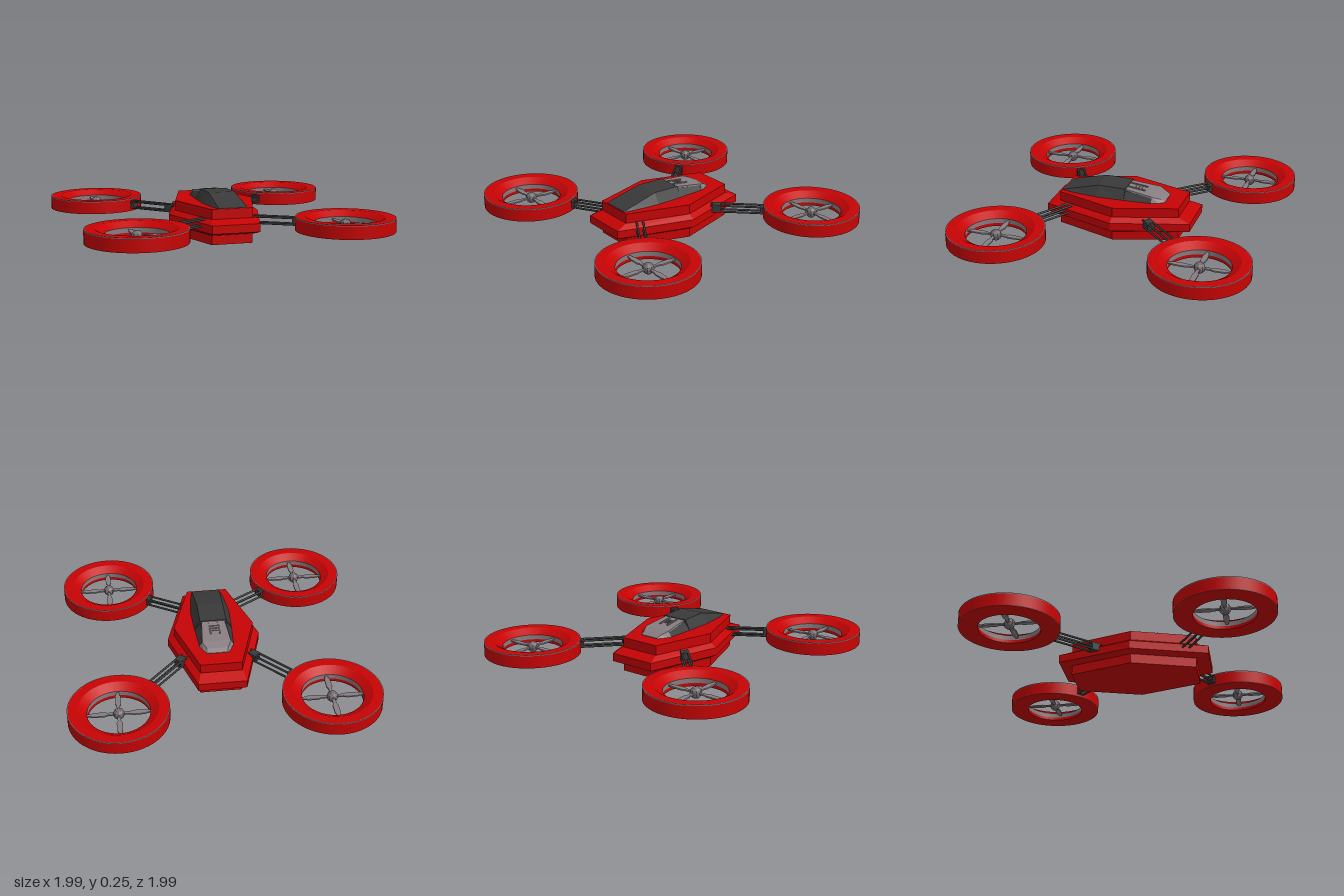
import * as THREE from 'three';

const mat = (name, color) => {
  const m = new THREE.MeshStandardMaterial({ color });
  m.name = name;
  return m;
};

// Flat-faced solid through rings of points, each counter-clockwise seen from the end
function loft(rings) {
  const pos = [];
  const tri = (a, b, c) => pos.push(...a, ...b, ...c);
  for (let k = 0; k + 1 < rings.length; k++) {
    const a = rings[k], b = rings[k + 1];
    a.forEach((p, i) => {
      const j = (i + 1) % a.length;
      tri(p, a[j], b[j]);
      tri(p, b[j], b[i]);
    });
  }
  const first = rings[0], last = rings[rings.length - 1];
  for (let i = 1; i + 1 < first.length; i++) {
    tri(first[0], first[i + 1], first[i]);
    tri(last[0], last[i], last[i + 1]);
  }
  const g = new THREE.BufferGeometry();
  g.setAttribute('position', new THREE.Float32BufferAttribute(pos, 3));
  g.computeVertexNormals();
  return g;
}

// Six-sided hull outline at height y: w = half width, e = half end width, l = half length
const hex = (w, e, l, y) =>
  [[w, 0], [e, -l], [-e, -l], [-w, 0], [-e, l], [e, l]].map(([x, z]) => [x, y, z]);

// Trapezoid section across the body at z
const trap = (z, base, y0, top, y1) =>
  [[base, y0, z], [top, y1, z], [-top, y1, z], [-base, y0, z]];

export function createModel() {
  const red = mat('red', 0xc60304);
  const dark = mat('darkGlass', 0x393939);
  const grey = mat('grey', 0x877d80);
  const hubGrey = mat('hubGrey', 0x746b6e);

  const model = new THREE.Group();
  model.name = 'quadcopter';
  const craft = new THREE.Group();
  craft.name = 'craft';
  craft.rotation.y = -Math.PI / 10;
  model.add(craft);

  const add = (parent, name, geo, material) => {
    const m = new THREE.Mesh(geo, material);
    m.name = name;
    parent.add(m);
    return m;
  };

  // Hull: keel, wide belt with bevels, upper deck
  const hull = new THREE.Group();
  hull.name = 'hull';
  hull.position.set(-0.006, 0, 0.028);
  craft.add(hull);
  add(hull, 'keel', loft([hex(0.228, 0.116, 0.354, 0), hex(0.228, 0.116, 0.354, 0.06)]), red);
  add(hull, 'belt', loft([
    hex(0.236, 0.12, 0.37, 0.055), hex(0.265, 0.135, 0.425, 0.072),
    hex(0.265, 0.135, 0.425, 0.118), hex(0.23, 0.117, 0.357, 0.14)]), red);
  add(hull, 'upperDeck', loft([hex(0.228, 0.116, 0.354, 0.135), hex(0.228, 0.116, 0.354, 0.195)]), red);

  // Canopy and rear engine cover
  add(craft, 'canopy', loft([
    trap(0, 0.11, 0.19, 0.075, 0.251), trap(0.16, 0.115, 0.19, 0.075, 0.253),
    trap(0.31, 0.1, 0.19, 0.08, 0.215), trap(0.375, 0.085, 0.19, 0.08, 0.197)]), dark);
  add(craft, 'canopyRear', loft([
    trap(-0.16, 0.1, 0.19, 0.08, 0.218), trap(0, 0.11, 0.19, 0.07, 0.24)]), dark);
  add(craft, 'engineTail', loft([
    trap(-0.23, 0.062, 0.19, 0.052, 0.198), trap(-0.205, 0.08, 0.19, 0.06, 0.212),
    trap(-0.16, 0.1, 0.19, 0.082, 0.227)]), grey);
  add(craft, 'engineCover', loft([
    trap(-0.16, 0.082, 0.219, 0.08, 0.227), trap(0, 0.068, 0.239, 0.066, 0.247)]), grey);
  for (const s of [-1, 1]) {
    const rail = add(craft, 'coverRail', new THREE.BoxGeometry(0.008, 0.008, 0.1), grey);
    rail.position.set(s * 0.026, 0.242, -0.055);
    rail.rotation.x = -0.12;
  }
  for (let i = 0; i < 3; i++) {
    const vent = add(craft, 'coverVent', new THREE.BoxGeometry(0.036, 0.006, 0.008), grey);
    vent.position.set(0, 0.239 + i * 0.0022, -0.075 + i * 0.018);
  }

  // Rotor duct surfaces, one strip per profile edge so the edges stay sharp
  const strip = (...p) => new THREE.LatheGeometry(p.map(([r, y]) => new THREE.Vector2(r, y)), 48);
  const ductParts = [
    ['ductBottom', strip([0.168, 0.08], [0.269, 0.08]), red],
    ['ductLowerEdge', strip([0.269, 0.08], [0.272, 0.08]), grey],
    ['ductOuterWall', strip([0.272, 0.08], [0.272, 0.15]), red],
    ['ductRimEdge', strip([0.272, 0.15], [0.272, 0.155]), grey],
    ['ductRimTop', strip([0.272, 0.155], [0.268, 0.155]), grey],
    ['ductTop', strip([0.268, 0.155], [0.215, 0.155]), red],
    ['ductFunnel', strip([0.215, 0.155], [0.168, 0.125]), red],
    ['ductInnerWall', strip([0.168, 0.125], [0.168, 0.098]), grey],
    ['ductInnerLip', strip([0.168, 0.098], [0.168, 0.08]), red],
  ];

  // Paddle blade outline, running along +x
  const half = [[0.02, 0.009], [0.06, 0.009], [0.078, 0.016], [0.135, 0.015], [0.152, 0.009], [0.17, 0.008]];
  const bladeShape = new THREE.Shape(
    [...half.map(([x, y]) => [x, -y]), ...half.slice().reverse()].map(([x, y]) => new THREE.Vector2(x, y)));
  const bladeGeo = new THREE.ExtrudeGeometry(bladeShape, { depth: 0.008, bevelEnabled: false });
  bladeGeo.translate(0, 0, -0.004);
  bladeGeo.rotateX(-Math.PI / 2);
  const hubGeo = new THREE.SphereGeometry(0.032, 8, 6).toNonIndexed();
  hubGeo.computeVertexNormals();

  for (const sx of [-1, 1]) for (const sz of [-1, 1]) {
    const name = (sz > 0 ? 'front' : 'rear') + (sx > 0 ? 'Left' : 'Right');
    const rotor = new THREE.Group();
    rotor.name = name + 'Rotor';
    rotor.position.set(sx * 0.575 - 0.002, 0, sz * 0.575);
    craft.add(rotor);
    for (const [n, g, m] of ductParts) add(rotor, n, g, m);
    add(rotor, 'hub', hubGeo, hubGrey).position.y = 0.112;
    for (let i = 0; i < 4; i++) {
      const blade = add(rotor, 'blade', bladeGeo, grey);
      blade.position.y = 0.112;
      blade.rotation.y = i * Math.PI / 2;
    }

    // Arm of four thin rods, its +z running from the hull to the rotor
    const start = sz > 0 ? [0.165, 0.325] : [0.205, -0.18];
    const dx = sx * (0.575 - start[0]), dz = sz * 0.575 - start[1];
    const len = Math.hypot(dx, dz) - 0.262;
    const arm = new THREE.Group();
    arm.name = name + 'Arm';
    arm.position.set(sx * start[0] - 0.002, 0.118, start[1]);
    arm.rotation.y = Math.atan2(dx, dz);
    craft.add(arm);
    for (const x of [-0.018, 0.018]) for (const y of [-0.018, 0.018]) {
      const rod = add(arm, 'rod', new THREE.CylinderGeometry(0.006, 0.006, len + 0.03, 8), dark);
      rod.rotation.x = Math.PI / 2;
      rod.position.set(x, y, len / 2 - 0.015);
    }
    if (sz < 0) {
      add(arm, 'hullBracket', new THREE.BoxGeometry(0.046, 0.046, 0.05), dark).position.z = 0.005;
    }
    add(arm, 'ductBracket', new THREE.BoxGeometry(0.044, 0.046, 0.03), dark).position.z = len - 0.012;
  }
  return model;
}
